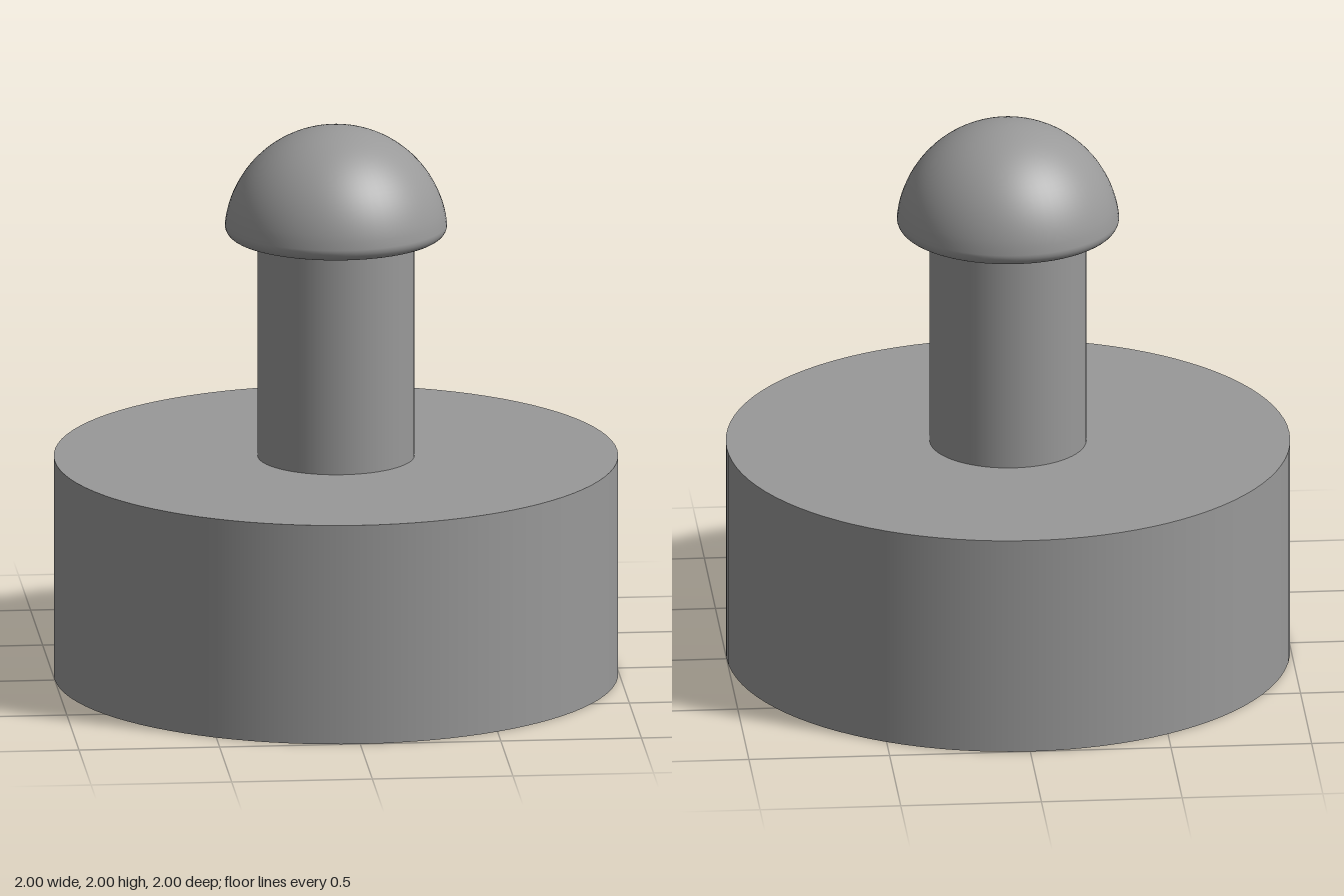
import * as THREE from 'three';

const grey = new THREE.MeshStandardMaterial({ color: 0x999999 });
grey.name = 'grey';

const CUT = 0.1; // depth of the carving in the underside

function part(group, name, geometry) {
  const mesh = new THREE.Mesh(geometry, grey);
  mesh.name = name;
  group.add(mesh);
  return mesh;
}

const points = (list) => list.map(([x, z]) => new THREE.Vector2(x, z));

// Extrude an (x, z) outline from y = 0 up to the carving depth
function slab(shape) {
  const g = new THREE.ExtrudeGeometry(shape, { depth: CUT, bevelEnabled: false, curveSegments: 48 });
  g.rotateX(Math.PI / 2);
  g.translate(0, CUT, 0);
  return g;
}

export function createModel() {
  const model = new THREE.Group();
  model.name = 'handStamp';

  // Round base: outer wall, top face and the ceiling of the carving
  const wall = new THREE.CylinderGeometry(1, 1, 0.8, 96, 1, true);
  part(model, 'baseWall', wall.translate(0, 0.4, 0));
  const top = new THREE.CircleGeometry(1, 96).rotateX(-Math.PI / 2);
  part(model, 'baseTop', top.translate(0, 0.8, 0));
  const ceiling = new THREE.CircleGeometry(0.99, 96).rotateX(Math.PI / 2);
  part(model, 'carvingCeiling', ceiling.translate(0, CUT - 0.001, 0));

  // Underside plate with abstract angular cut-outs
  const plate = new THREE.Shape();
  plate.absarc(0, 0, 0.999, 0, Math.PI * 2, false);
  const cutouts = [
    [[-0.46, -0.46], [-0.06, -0.4], [0.25, -0.42], [0.33, -0.24], [0.24, -0.26], [0.17, -0.36], [-0.29, -0.18]],
    [[-0.52, 0.4], [-0.15, 0.39], [0.04, 0.55], [0.16, 0.47], [0.33, 0.29], [0.55, 0.18], [0.54, -0.08],
      [0.39, -0.05], [0, -0.04], [-0.16, 0.01], [-0.25, 0.08]],
    [[0.02, -0.17], [0.08, -0.22], [0.17, -0.15], [0.14, -0.1]],
  ];
  for (const outline of cutouts) plate.holes.push(new THREE.Path(points(outline)));
  part(model, 'undersidePlate', slab(plate));

  // Raised pieces left standing inside the larger cut-out
  const islands = [
    [[0.03, 0.04], [-0.01, 0.3], [0.12, 0.26], [0.17, 0.1]],
    [[0.4, 0.0], [0.36, 0.15], [0.46, 0.12], [0.46, 0.02]],
  ];
  for (const outline of islands) part(model, 'raisedPiece', slab(new THREE.Shape(points(outline))));

  // Handle shaft
  const shaft = new THREE.CylinderGeometry(0.278, 0.278, 0.81, 64, 1, true);
  part(model, 'handleShaft', shaft.translate(0, 1.2, 0));

  // Domed knob: rounded lower lip, then a hemisphere
  const profile = [];
  for (let i = 0; i <= 8; i++) {
    const a = -Math.PI / 2 + (i / 8) * (Math.PI / 2 + 0.1);
    profile.push(new THREE.Vector2(0.354 + 0.04 * Math.cos(a), 1.645 + 0.04 * Math.sin(a)));
  }
  for (let i = 1; i <= 24; i++) {
    const a = 0.13 + (i / 24) * (Math.PI / 2 - 0.13);
    profile.push(new THREE.Vector2(Math.max(0, 0.397 * Math.cos(a)), 1.603 + 0.397 * Math.sin(a)));
  }
  part(model, 'knobDome', new THREE.LatheGeometry(profile, 64));
  const under = new THREE.RingGeometry(0.27, 0.354, 64).rotateX(Math.PI / 2);
  part(model, 'knobUnderside', under.translate(0, 1.605, 0));

  return model;
}
